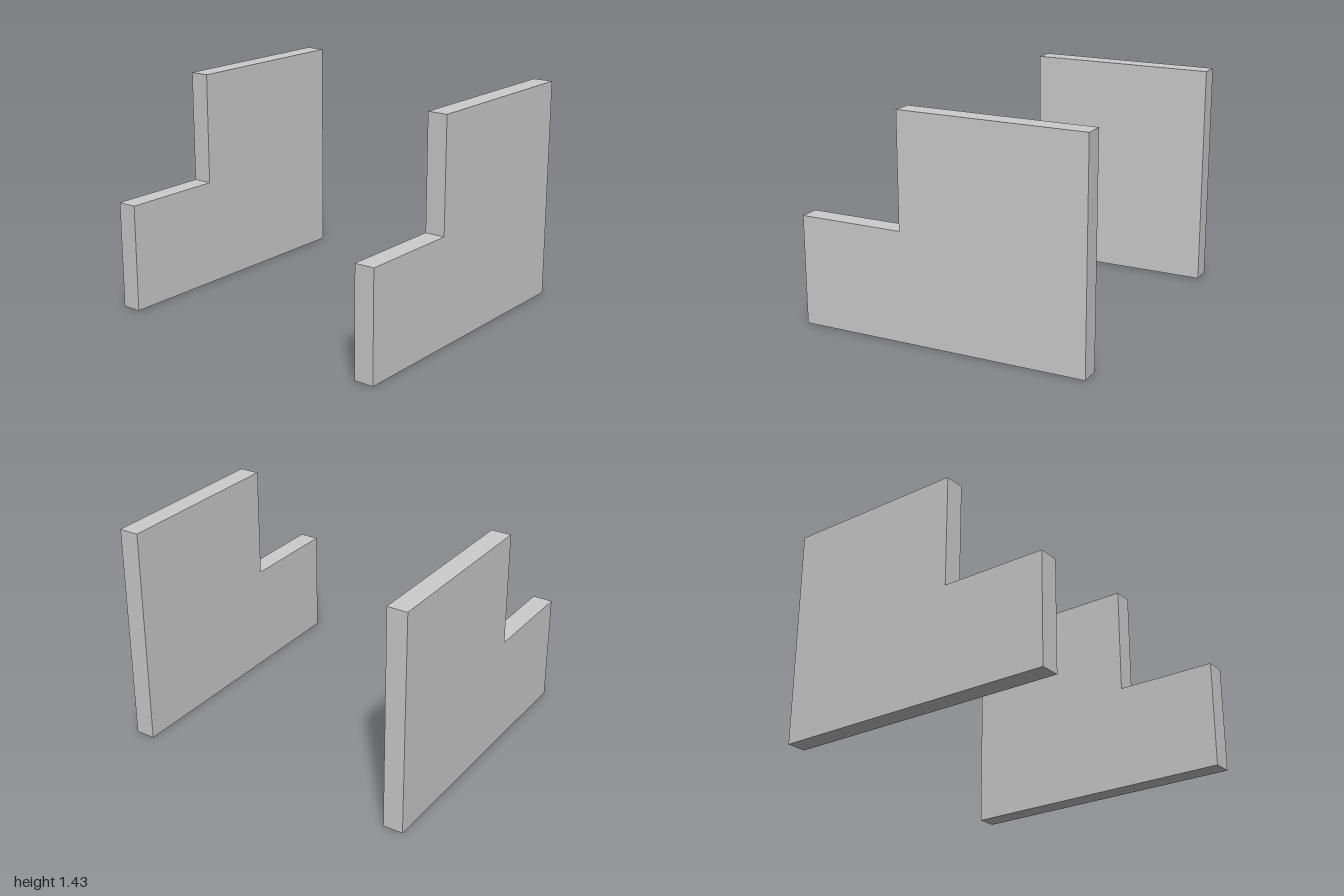
import * as THREE from 'three';

const HALF_DEPTH = 0.945, HEIGHT = 1.43, STEP_Z = 0.26, STEP_Y = 0.7, THICKNESS = 0.13;

export function createModel() {
  const model = new THREE.Group();
  model.name = 'sidePanels';
  const material = new THREE.MeshStandardMaterial({ color: 0xcccccc, flatShading: true });

  // Stepped side profile, drawn as (-z, y): low at the front, tall at the back
  const profile = new THREE.Shape([
    [-HALF_DEPTH, 0], [HALF_DEPTH, 0], [HALF_DEPTH, HEIGHT],
    [-STEP_Z, HEIGHT], [-STEP_Z, STEP_Y], [-HALF_DEPTH, STEP_Y],
  ].map(([x, y]) => new THREE.Vector2(x, y)));

  // Extrude across the thickness and turn it so the thickness runs along x
  const geometry = new THREE.ExtrudeGeometry(profile, { depth: THICKNESS, bevelEnabled: false });
  geometry.translate(0, 0, -THICKNESS / 2).rotateY(Math.PI / 2);

  // One panel on each side
  for (const [name, side] of [['leftPanel', 1], ['rightPanel', -1]]) {
    const panel = new THREE.Mesh(geometry, material);
    panel.name = name;
    panel.position.x = side * (1 - THICKNESS / 2);
    model.add(panel);
  }
  return model;
}
